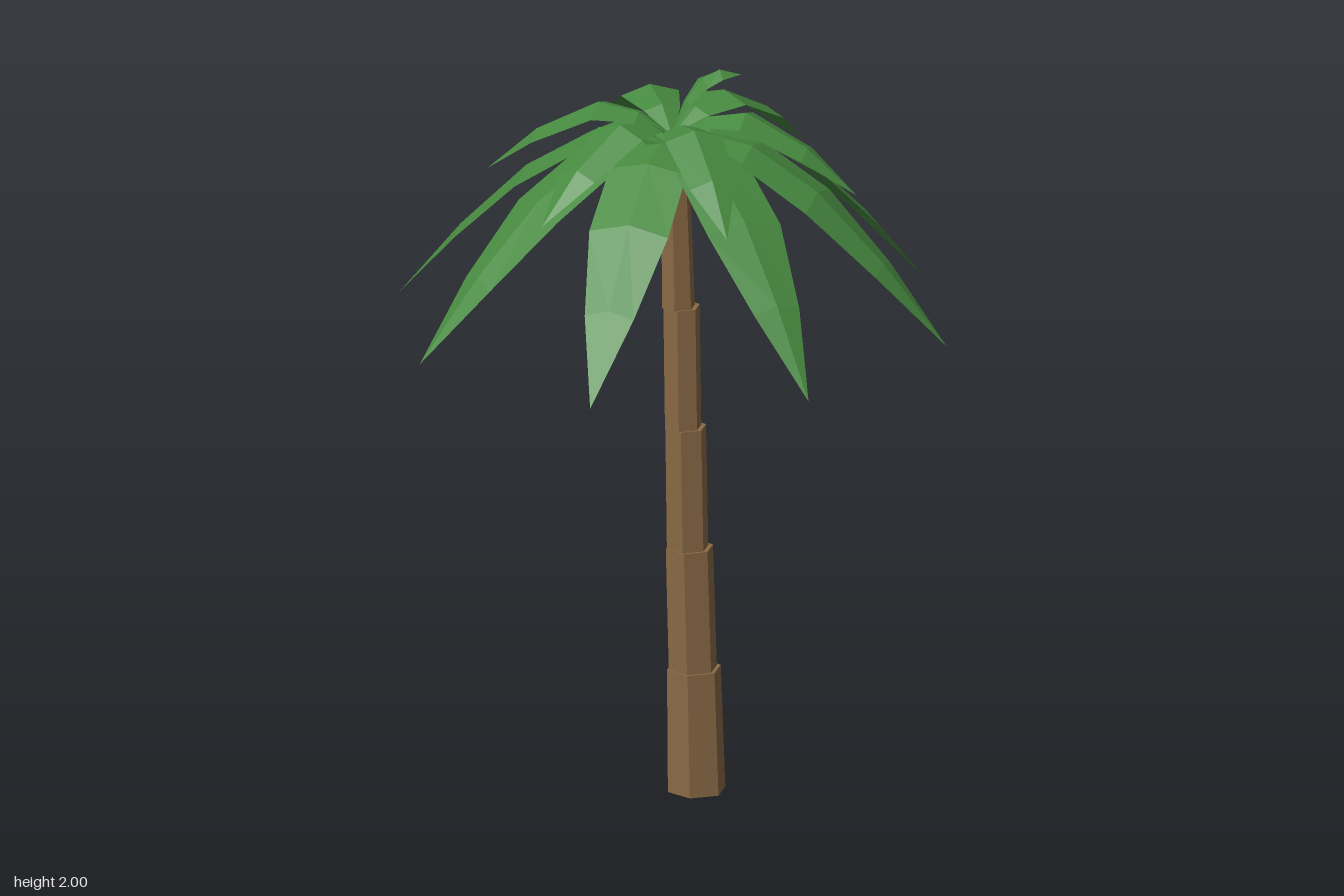
import * as THREE from 'three';

const mat = (name, color, side = THREE.FrontSide) =>
  Object.assign(new THREE.MeshStandardMaterial({ color, flatShading: true, side }), { name });

// Six-sided tapered piece whose ends are centred on a = [x, y, z, radius] and b
function trunkPiece(a, b, material, name) {
  const h = b[1] - a[1];
  const geo = new THREE.CylinderGeometry(b[3], a[3], h, 6, 1, false, Math.PI / 6);
  const p = geo.attributes.position;
  for (let i = 0; i < p.count; i++) {
    const end = p.getY(i) > 0 ? b : a;
    p.setXYZ(i, p.getX(i) + end[0], end[1], p.getZ(i) + end[2]);
  }
  geo.computeVertexNormals();
  const mesh = new THREE.Mesh(geo, material);
  mesh.name = name;
  return mesh;
}

// Folded leaf along +x; stations are [distance, ridge height, half width, fold depth]
function leafGeometry(stations) {
  const pos = [], index = [];
  stations.forEach(([x, y, w, f], i) => {
    pos.push(x, y - f, w, x, y, 0, x, y - f, -w);
    if (!i) return;
    const a = (i - 1) * 3, b = i * 3;
    for (let k = 0; k < 2; k++) {
      index.push(a + k, b + k, b + k + 1, a + k, b + k + 1, a + k + 1);
    }
  });
  const geo = new THREE.BufferGeometry();
  geo.setAttribute('position', new THREE.Float32BufferAttribute(pos, 3));
  geo.setIndex(index);
  geo.computeVertexNormals();
  return geo;
}

export function createModel() {
  const group = new THREE.Group();
  const bark = mat('bark', 0x8a6a45);
  const husk = mat('husk', 0x80583a);
  const leaf = mat('leaf green', 0x478a40, THREE.DoubleSide);

  // Leaning trunk of five stepped segments
  const segments = [
    [[0.074, 0, -0.021, 0.079], [0.066, 0.34, -0.019, 0.074]],
    [[0.063, 0.338, -0.019, 0.066], [0.053, 0.677, -0.017, 0.065]],
    [[0.048, 0.675, -0.017, 0.057], [0.041, 1.015, -0.011, 0.056]],
    [[0.034, 1.01, -0.011, 0.05], [0.028, 1.352, -0.006, 0.05]],
    [[0.02, 1.35, -0.006, 0.045], [0.01, 1.7, -0.002, 0.04]],
  ];
  const trunk = new THREE.Group();
  trunk.name = 'trunk';
  segments.forEach(([a, b], i) => trunk.add(trunkPiece(a, b, bark, `trunkSegment${i + 1}`)));
  group.add(trunk);

  // Flared collar under the leaves
  group.add(trunkPiece([0.01, 1.69, -0.002, 0.04], [0.005, 1.785, 0, 0.1], husk, 'collar'));

  // Rings of leaves
  const addRing = (name, count, startDeg, stations) => {
    const ring = new THREE.Group();
    ring.name = name;
    const geo = leafGeometry(stations);
    for (let i = 0; i < count; i++) {
      const mesh = new THREE.Mesh(geo, leaf);
      mesh.name = 'leaf';
      mesh.rotation.y = THREE.MathUtils.degToRad(startDeg + (i * 360) / count);
      ring.add(mesh);
    }
    group.add(ring);
  };
  addRing('lowerLeaves', 8, 11.5, [
    [0, 1.8, 0, 0], [0.1, 1.84, 0.06, 0.012], [0.22, 1.822, 0.105, 0.022],
    [0.4, 1.71, 0.108, 0.026], [0.58, 1.53, 0.067, 0.02], [0.755, 1.315, 0, 0],
  ]);
  addRing('upperLeaves', 6, 30, [
    [0, 1.83, 0, 0], [0.09, 1.888, 0.05, 0.015], [0.2, 1.908, 0.08, 0.025],
    [0.365, 1.822, 0.062, 0.02], [0.5, 1.7, 0, 0],
  ]);
  addRing('centreLeaf', 1, 0, [
    [0, 1.84, 0, 0], [0.04, 1.925, 0.024, 0.01], [0.085, 1.98, 0.045, 0.015],
    [0.13, 2, 0.036, 0.018], [0.19, 1.98, 0, 0],
  ]);
  return group;
}
